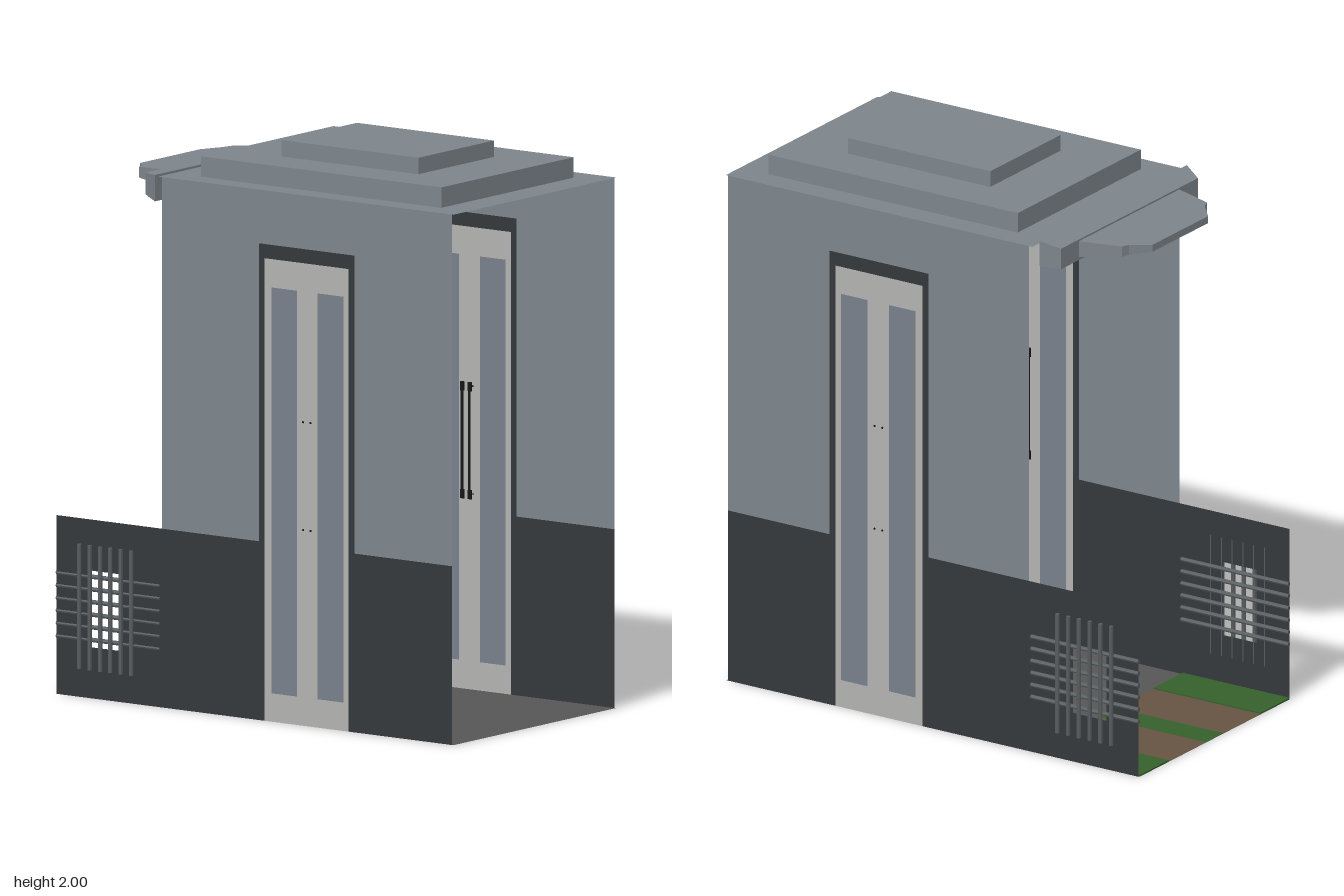
import * as THREE from 'three';

const mat = (color) => new THREE.MeshStandardMaterial({ color, side: THREE.DoubleSide, flatShading: true });
const GREY = mat(0x7c848b), DARK = mat(0x33383a), DOOR = mat(0xb2b2b0), GLASS = mat(0x78808a);
const METAL = mat(0x565b5e), BLACK = mat(0x161616), FLOOR = mat(0x565656);
const GRASS = mat(0x36602b), SOIL = mat(0x665341);

function add(parent, name, geometry, material, x = 0, y = 0, z = 0) {
  const mesh = new THREE.Mesh(geometry, material);
  mesh.name = name;
  mesh.position.set(x, y, z);
  parent.add(mesh);
  return mesh;
}

const rectPoints = (a0, b0, a1, b1) =>
  [[a0, b0], [a1, b0], [a1, b1], [a0, b1]].map(([a, b]) => new THREE.Vector2(a, b));

// Flat panel from outline points, with rectangular holes
function panel(points, holes = []) {
  const shape = new THREE.Shape(points);
  holes.forEach((h) => shape.holes.push(new THREE.Path(rectPoints(...h))));
  return new THREE.ShapeGeometry(shape);
}
// Upright panel: outline given in (z, y)
const upright = (points, holes) => panel(points, holes).rotateY(-Math.PI / 2);
// Level panel: outline given in (x, -z), facing up
const level = (x0, z0, x1, z1, hole) =>
  panel(rectPoints(x0, -z1, x1, -z0), hole ? [[hole[0], -hole[3], hole[2], -hole[1]]] : []).rotateX(-Math.PI / 2);

// Solid lofted along z through rectangles [z, x0, x1, y0, y1]
function loft(sections) {
  const pos = [], index = [];
  sections.forEach(([z, x0, x1, y0, y1]) => pos.push(x0, y0, z, x1, y0, z, x1, y1, z, x0, y1, z));
  const n = sections.length;
  for (let i = 0; i < n - 1; i++) {
    for (let k = 0; k < 4; k++) {
      const a = i * 4 + k, b = i * 4 + (k + 1) % 4;
      index.push(a, a + 4, b, b, a + 4, b + 4);
    }
  }
  const e = (n - 1) * 4;
  index.push(0, 1, 2, 0, 2, 3, e, e + 2, e + 1, e, e + 3, e + 2);
  const g = new THREE.BufferGeometry();
  g.setAttribute('position', new THREE.Float32BufferAttribute(pos, 3));
  g.setIndex(index);
  const flat = g.toNonIndexed();
  flat.computeVertexNormals();
  return flat;
}

// One side: thin wall, cladding, door, handles and window grille; s is the outward x direction
function buildSide(name, x, s) {
  const side = new THREE.Group();
  side.name = name;
  const pts = (list) => list.map(([z, y]) => new THREE.Vector2(z, y));

  add(side, 'upperWall', upright(pts([
    [-0.405, 0.63], [0.015, 0.63], [0.015, 1.68], [0.43, 1.68], [0.43, 0.63],
    [0.855, 0.63], [0.855, 1.87], [-0.405, 1.87]])), GREY, x);
  const opening = [-0.73, 0.18, -0.59, 0.45];
  add(side, 'lowerWallBack', upright(rectPoints(-0.865, 0, 0.015, 0.63), [opening]), DARK, x);
  add(side, 'lowerWallFront', upright(rectPoints(0.43, 0, 0.855, 0.63)), DARK, x);
  add(side, 'doorFrame', upright(pts([
    [0.015, 0], [0.04, 0], [0.04, 1.63], [0.405, 1.63], [0.405, 0],
    [0.43, 0], [0.43, 1.68], [0.015, 1.68]])), DARK, x);

  const panes = [[0.07, 0.1, 0.18, 1.53], [0.27, 0.1, 0.382, 1.53]];
  add(side, 'door', upright(rectPoints(0.04, 0, 0.405, 1.63), panes), DOOR, x);
  panes.forEach((p) => add(side, 'doorPane', upright(rectPoints(...p)), GLASS, x));

  // Pull handles inside, with their fixings showing outside
  for (const z of [0.208, 0.24]) {
    add(side, 'handleBar', new THREE.BoxGeometry(0.003, 0.4, 0.01), BLACK, s * 0.443, 0.88, z);
    for (const y of [0.69, 1.07]) {
      add(side, 'handleEnd', new THREE.BoxGeometry(0.007, 0.032, 0.014), BLACK, s * 0.446, y, z);
      add(side, 'handleFixing', new THREE.CylinderGeometry(0.004, 0.004, 0.002, 8).rotateZ(Math.PI / 2),
        BLACK, x + s * 0.001, y, z);
    }
  }

  // Window grille
  for (let i = 0; i < 6; i++) {
    add(side, 'grilleUpright', new THREE.CylinderGeometry(0.008, 0.008, 0.44, 8),
      METAL, s * 0.479, 0.32, -0.535 - i * 0.045);
    add(side, 'grilleRail', new THREE.CylinderGeometry(0.008, 0.008, 0.45, 8).rotateX(Math.PI / 2),
      METAL, s * 0.466, 0.205 + i * 0.0445, -0.642);
  }
  return side;
}

export function createModel() {
  const model = new THREE.Group();
  model.name = 'entranceHall';

  model.add(buildSide('leftSide', 0.464, 1), buildSide('rightSide', -0.472, -1));

  // Floor and planted strip
  add(model, 'floor', level(-0.472, -0.42, 0.464, 0.86), FLOOR);
  const strips = [-0.47, -0.29, -0.06, 0.05, 0.28, 0.462];
  for (let i = 0; i < 5; i++) {
    const outer = i === 0 || i === 4, h = outer ? 0.006 : 0.001;
    add(model, i % 2 ? 'soilStrip' : 'grassStrip',
      new THREE.BoxGeometry(strips[i + 1] - strips[i], h, 0.448),
      i % 2 ? SOIL : GRASS, (strips[i] + strips[i + 1]) / 2, h / 2, -0.643);
  }

  // Stepped roof, hollow below: [x0, z0, x1, z1, y]
  const tiers = [
    [-0.477, -0.42, 0.465, 0.863, 1.87],
    [-0.39, -0.298, 0.374, 0.746, 1.942],
    [-0.225, -0.073, 0.211, 0.522, 2.0],
  ];
  tiers.forEach(([x0, z0, x1, z1, y], i) => {
    add(model, 'roofTier', level(x0, z0, x1, z1, tiers[i + 1]), GREY, 0, y);
    if (i === 0) return;
    const h = y - tiers[i - 1][4], yc = y - h / 2;
    const xc = (x0 + x1) / 2, zc = (z0 + z1) / 2;
    for (const [z, turn] of [[z0, Math.PI], [z1, 0]])
      add(model, 'roofRiser', new THREE.PlaneGeometry(x1 - x0, h).rotateY(turn), GREY, xc, yc, z);
    for (const [x, turn] of [[x0, -Math.PI / 2], [x1, Math.PI / 2]])
      add(model, 'roofRiser', new THREE.PlaneGeometry(z1 - z0, h).rotateY(turn), GREY, x, yc, zc);
  });

  // Cornice and tapering canopy at the back
  add(model, 'cornice', loft([
    [-0.42, -0.495, 0.42, 1.785, 1.878],
    [-0.51, -0.43, 0.42, 1.792, 1.868]]), GREY);
  add(model, 'canopy', loft([
    [-0.505, -0.316, 0.31, 1.802, 1.862],
    [-0.65, -0.28, 0.25, 1.815, 1.853],
    [-0.66, -0.25, 0.22, 1.815, 1.852],
    [-0.718, -0.185, 0.16, 1.82, 1.846]]), GREY);
  return model;
}
